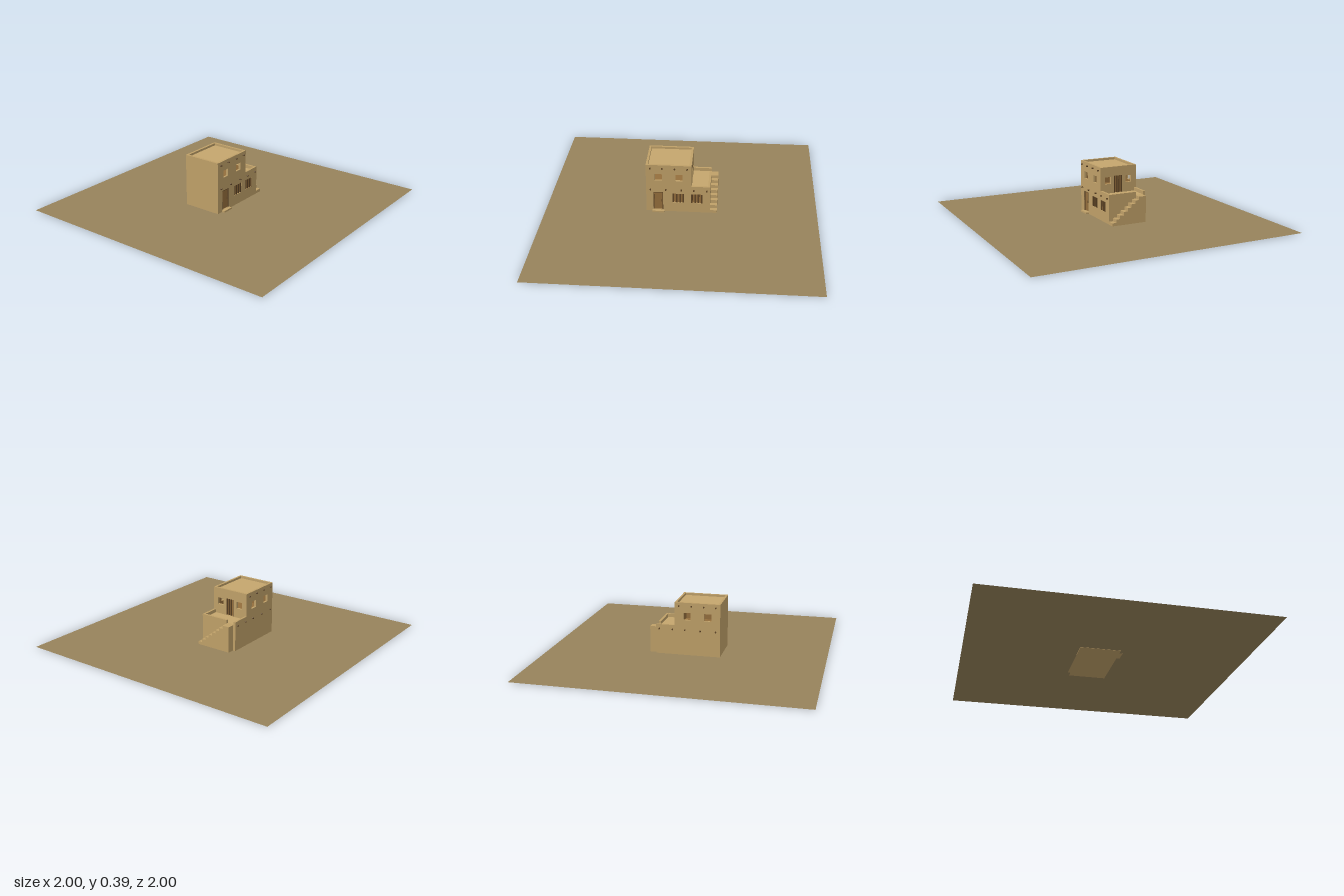
import * as THREE from 'three';

const mat = (name, color) => {
  const m = new THREE.MeshStandardMaterial({ color });
  m.name = name;
  return m;
};

export function createModel() {
  const model = new THREE.Group();
  model.name = 'adobeHouse';
  const adobe = mat('adobe', 0xbfa068);
  const roofClay = mat('roofClay', 0xc5a66d);
  const sand = mat('sand', 0x97835b);
  sand.side = THREE.DoubleSide;
  const wood = mat('wood', 0x946e3c);
  const darkWood = mat('darkWood', 0x5f4526);

  // Main dimensions: outer edges, wall thickness and floor levels
  const X0 = -0.254, X1 = 0.077, X2 = 0.214, X3 = 0.265;
  const Z0 = -0.2, Z1 = 0.09, T = 0.016;
  const LOW = 0.22, HIGH = 0.39, TERRACE = 0.195, ROOF = 0.374;

  const add = (name, geo, material, parent = model) => {
    const mesh = new THREE.Mesh(geo, material);
    mesh.name = name;
    parent.add(mesh);
    return mesh;
  };
  // Box given by its minimum and maximum corners
  const box = (name, material, a, b, parent) => add(name,
    new THREE.BoxGeometry(b[0] - a[0], b[1] - a[1], b[2] - a[2])
      .translate((a[0] + b[0]) / 2, (a[1] + b[1]) / 2, (a[2] + b[2]) / 2), material, parent);
  // Flat wall from an outline with rectangular openings [left, bottom, right, top]
  const slab = (points, openings, depth) => {
    const corners = pts => pts.map(p => new THREE.Vector2(...p));
    const shape = new THREE.Shape(corners(points));
    for (const [l, b, r, t] of openings)
      shape.holes.push(new THREE.Path(corners([[l, b], [l, t], [r, t], [r, b]])));
    return new THREE.ExtrudeGeometry(shape, { depth, bevelEnabled: false });
  };
  const rect = (l, b, r, t) => [[l, b], [r, b], [r, t], [l, t]];

  // Ground
  add('ground', new THREE.PlaneGeometry(2, 2).rotateX(-Math.PI / 2).translate(0, 0.002, 0), sand);

  // Stepped front and back walls
  const outline = [[X0, 0], [X2, 0], [X2, LOW], [X1, LOW], [X1, HIGH], [X0, HIGH]];
  const upperWindows = [[-0.19, 0.262, -0.137, 0.316], [-0.04, 0.262, 0.013, 0.316]];
  const lowerWindows = [[-0.061, 0.08, 0.024, 0.155], [0.076, 0.08, 0.158, 0.155]];
  const door = [-0.201, 0.015, -0.13, 0.164];
  add('frontWall', slab(outline, [...upperWindows, ...lowerWindows, door], T).translate(0, 0, Z1 - T), adobe);
  add('backWall', slab(outline, upperWindows, T).translate(0, 0, Z0), adobe);

  // Side walls; the terrace wall is notched where the stairs arrive
  box('closedSideWall', adobe, [X0, 0, Z0 + T], [X0 + T, HIGH, Z1 - T]);
  const u0 = -Z1 + T, u1 = -Z0 - T;
  const terraceWall = [[u0, 0], [u1, 0], [u1, TERRACE], [0.125, TERRACE], [0.125, LOW], [u0, LOW]];
  add('terraceWall', slab(terraceWall, [], T).rotateY(Math.PI / 2).translate(X2 - T, 0, 0), adobe);
  const sideWindows = [[-0.054, 0.265, -0.006, 0.316], [0.112, 0.265, 0.16, 0.316]];
  const sideDoor = [0.02, 0.197, 0.086, 0.322];
  const sideOpenings = [...sideWindows, sideDoor];
  add('upperSideWall', slab(rect(u0, TERRACE, u1, HIGH), sideOpenings, T)
    .rotateY(Math.PI / 2).translate(X1 - T, 0, 0), adobe);

  // Floors and roofs
  box('baseFloor', adobe, [X0 + T, 0, Z0 + T], [X2 - T, 0.012, Z1 - T]);
  box('terraceFloor', roofClay, [X0 + T, 0.182, Z0 + T], [X2 - T, TERRACE, Z1 - T]);
  box('upperRoof', roofClay, [X0 + T, 0.36, Z0 + T], [X1 - T, ROOF, Z1 - T]);

  // Wooden lining of the upper room
  const lining = new THREE.Group();
  lining.name = 'roomLining';
  model.add(lining);
  const L = 0.003, xi = X0 + T, xo = X1 - T;
  const roomSide = rect(xi, TERRACE, xo, 0.36);
  add('frontLining', slab(roomSide, upperWindows, L).translate(0, 0, Z1 - T - L), wood, lining);
  add('backLining', slab(roomSide, upperWindows, L).translate(0, 0, Z0 + T), wood, lining);
  add('sideLining', slab(rect(u0, TERRACE, u1, 0.36), sideOpenings, L)
    .rotateY(Math.PI / 2).translate(xo - L, 0, 0), wood, lining);
  box('closedSideLining', wood, [xi, TERRACE, Z0 + T], [xi + L, 0.36, Z1 - T], lining);
  box('floorLining', wood, [xi, TERRACE, Z0 + T], [xo, TERRACE + L, Z1 - T], lining);

  // Recessed panel with upright bars, facing +z at z = 0
  const barredPanel = (name, [l, b, r, t], bars, barWidth) => {
    const g = new THREE.Group();
    g.name = name;
    box('panel', wood, [l, b, -0.014], [r, t, -0.008], g);
    for (let i = 0; i < bars; i++) {
      const x = l + (r - l - barWidth) * i / (bars - 1);
      box('bar', darkWood, [x, b, -0.008], [x + barWidth, t, -0.002], g);
    }
    model.add(g);
    return g;
  };
  for (const w of lowerWindows) barredPanel('lowerWindow', w, 4, 0.011).position.z = Z1;

  // Front door with lintel bar, handle and step
  const frontDoor = barredPanel('frontDoor', door, 2, 0.005);
  box('doorHead', darkWood, [door[0], 0.159, -0.008], [door[2], 0.164, -0.002], frontDoor);
  box('handle', darkWood, [-0.144, 0.082, -0.008], [-0.139, 0.098, -0.001], frontDoor);
  frontDoor.position.z = Z1;
  box('doorStep', adobe, [-0.21, 0, Z1], [-0.121, 0.014, 0.113]);

  // Terrace door
  const terraceDoor = barredPanel('terraceDoor', sideDoor, 4, 0.009);
  terraceDoor.rotation.y = Math.PI / 2;
  terraceDoor.position.x = X1;

  // Roof beams running through the walls
  const beams = [[0.365, [-0.222, -0.136, -0.045, 0.045]],
    [0.188, [-0.222, -0.11, 0.003, 0.094, 0.19]]];
  for (const [y, xs] of beams)
    for (const x of xs)
      add('roofBeam', new THREE.CylinderGeometry(0.0055, 0.0055, 0.312, 8)
        .rotateX(Math.PI / 2).translate(x, y, -0.054), darkWood);

  // Outside stairs ending in a landing
  const steps = 8, run = 0.215 / (steps - 1), rise = TERRACE / steps;
  const stairs = [[0.18, 0], [0.18, TERRACE]];
  for (let i = steps - 1; i >= 0; i--) {
    const u = -Z1 + i * run;
    stairs.push([u, (i + 1) * rise], [u, i * rise]);
  }
  add('stairs', slab(stairs.reverse(), [], X3 - X2).rotateY(Math.PI / 2).translate(X2, 0, 0), adobe);

  return model;
}
